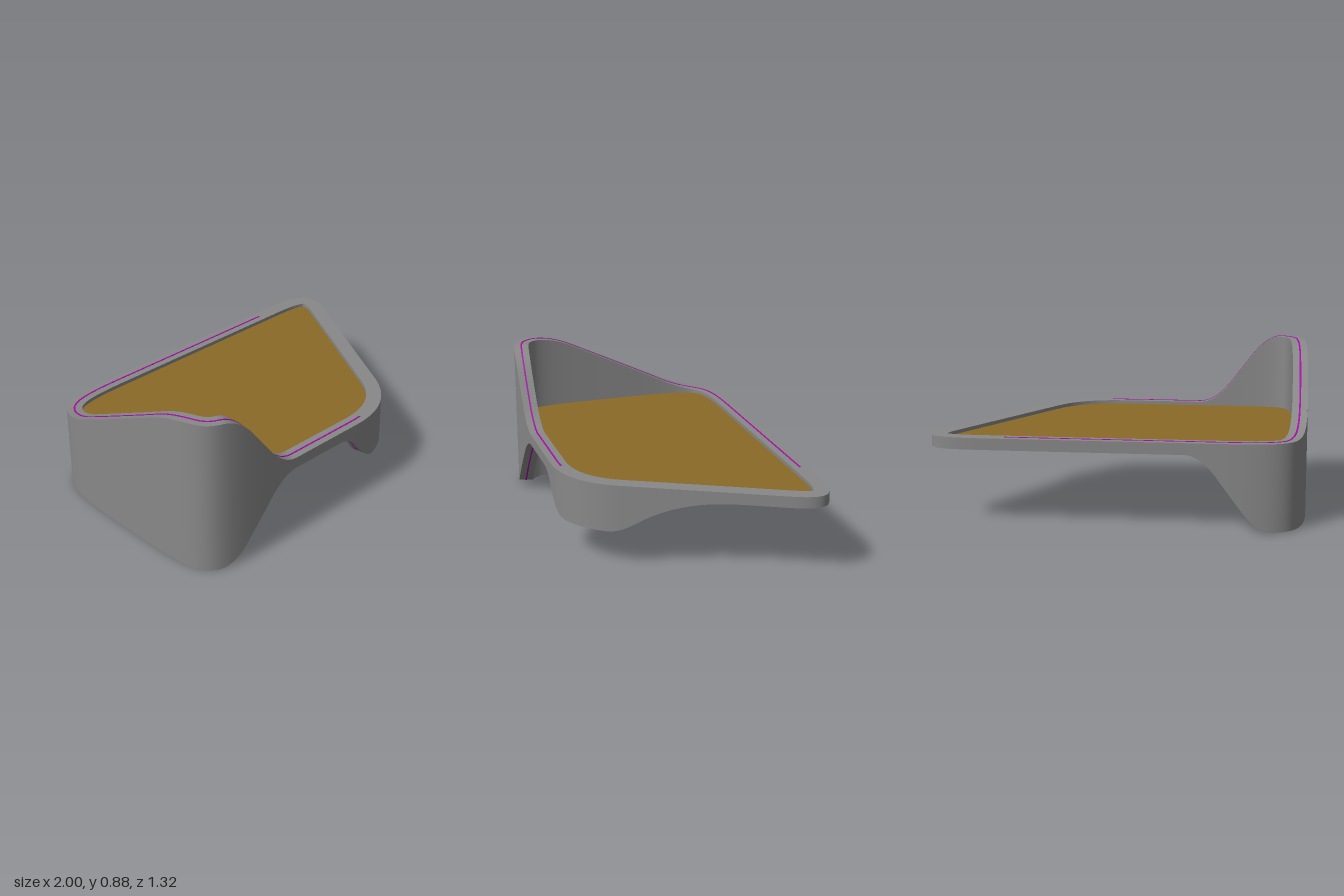
import * as THREE from 'three';

const SEGMENTS = 360;
const WALL = 0.085;

// Ramp from 0 at a to 1 at b: straight in the middle, rounded at both ends
function ramp(v, a, b, k) {
  const t = THREE.MathUtils.clamp((v - a) / (b - a), 0, 1);
  if (t < k) return (t * t) / (2 * k * (1 - k));
  if (t > 1 - k) return 1 - ((1 - t) * (1 - t)) / (2 * k * (1 - k));
  return (t - k / 2) / (1 - k);
}

// Rim top: rises towards the front left corner
const topAt = (x, z) =>
  0.475 + 0.408 * (1 - ramp(x, -0.86, -0.36, 0.38)) * ramp(z, -0.6, 0.53, 0.24);

// Rim bottom: full-height left end, short leg under the front right corner
function bottomAt(x, z) {
  const end = 1 - ramp(x, -0.86 - 0.05 * z, -0.36, 0.35);
  const leg = ramp(x, -0.02, 0.28, 0.45) * Math.pow(ramp(z, -0.3, 0.46, 0.2), 2.6);
  return 0.412 - 0.41 * end - 0.205 * leg;
}

// Plan outline in (x, z), running front, right, back, left
function outline() {
  const p = new THREE.Path();
  p.moveTo(0.1, 0.655);
  p.quadraticCurveTo(0.41, 0.655, 0.55, 0.38);
  p.lineTo(0.955, -0.4);
  p.bezierCurveTo(1.065, -0.61, 0.98, -0.66, 0.72, -0.66);
  p.lineTo(-0.5, -0.66);
  p.bezierCurveTo(-0.965, -0.66, -0.995, -0.62, -1, -0.1);
  p.lineTo(-1, 0.1);
  p.bezierCurveTo(-0.995, 0.645, -0.98, 0.655, -0.5, 0.655);
  p.lineTo(0.1, 0.655);
  const pts = p.getSpacedPoints(SEGMENTS);
  return pts.map((pt, i) => {
    const a = pts[i === 0 ? SEGMENTS - 1 : i - 1];
    const b = pts[i === SEGMENTS ? 1 : i + 1];
    const t = b.clone().sub(a).normalize();
    return { x: pt.x, z: pt.y, nx: -t.y, nz: t.x, top: topAt(pt.x, pt.y), bottom: bottomAt(pt.x, pt.y) };
  });
}

// Point a given distance inside the outline
const inset = (s, d, y) => [s.x - s.nx * d, y, s.z - s.nz * d];

// Sweep a cross-section along samples; each side is separate so edges stay sharp
function sweep(samples, section) {
  const pos = [], index = [];
  const sides = section(samples[0]).length;
  for (let k = 0; k < sides; k++) {
    const base = pos.length / 3;
    samples.forEach((s, i) => {
      const c = section(s);
      pos.push(...c[k], ...c[(k + 1) % sides]);
      if (i === samples.length - 1) return;
      const a = base + i * 2;
      index.push(a, a + 2, a + 3, a, a + 3, a + 1);
    });
  }
  const g = new THREE.BufferGeometry();
  g.setAttribute('position', new THREE.Float32BufferAttribute(pos, 3));
  g.setIndex(index);
  g.computeVertexNormals();
  return g;
}

export function createModel() {
  const group = new THREE.Group();
  const add = (name, geometry, color) => {
    const mesh = new THREE.Mesh(geometry, new THREE.MeshStandardMaterial({ color }));
    mesh.name = name;
    group.add(mesh);
  };
  const samples = outline();

  // Continuous rim that also forms the raised end and the legs
  add('rim', sweep(samples, s => [
    inset(s, 0, s.bottom), inset(s, 0, s.top),
    inset(s, WALL, s.top), inset(s, WALL, s.bottom),
  ]), 0x888888);

  // Thin coloured strips along the middle of the rim's top and bottom edges
  const start = samples.findIndex(s => s.z < -0.6 && s.x <= 0.6);
  const run = [...samples.slice(start), ...samples.slice(1, 6)];
  const strip = (key) => sweep(run, s => [
    inset(s, 0.038, s[key] - 0.002), inset(s, 0.038, s[key] + 0.002),
    inset(s, 0.047, s[key] + 0.002), inset(s, 0.047, s[key] - 0.002),
  ]);
  add('topStrip', strip('top'), 0xa808a8);
  add('bottomStrip', strip('bottom'), 0xa808a8);

  // Panel set inside the rim
  const shape = new THREE.Shape(samples.slice(0, -1).map(s => {
    const [x, , z] = inset(s, WALL - 0.005, 0);
    return new THREE.Vector2(x, z);
  }));
  const panel = new THREE.ExtrudeGeometry(shape, { depth: 0.015, bevelEnabled: false });
  panel.rotateX(Math.PI / 2).translate(0, 0.455, 0);
  add('panel', panel, 0x8b6a28);

  return group;
}
